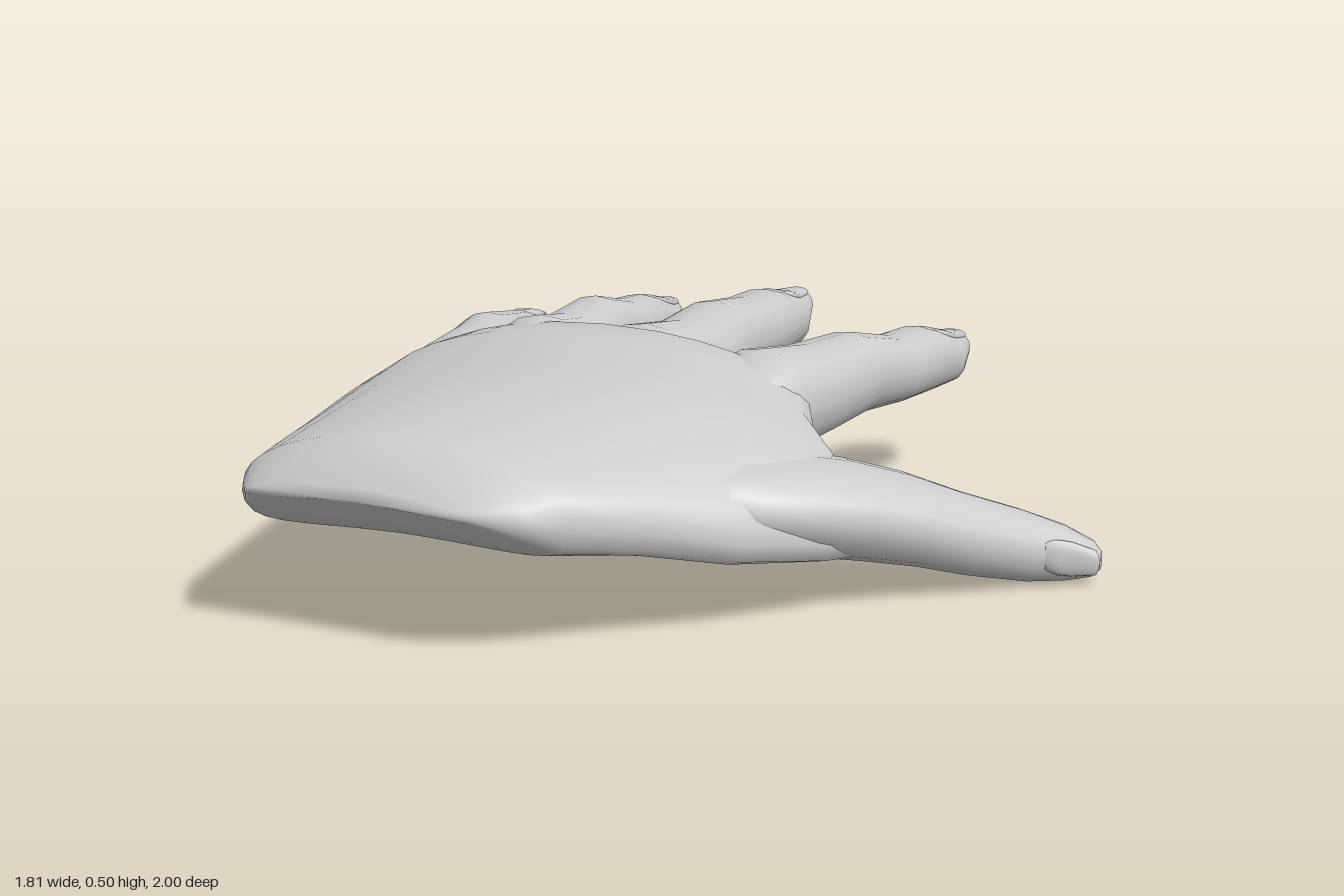
import * as THREE from 'three';

const SIDES = 16;
const UP = new THREE.Vector3(0, 1, 0);
const skin = new THREE.MeshStandardMaterial({ color: 0xcccccc });

// Closed smooth skin over rings of points, with a pole at each end
function skinRings(name, rings) {
  const n = rings[0].length, pos = [], index = [];
  const pole = (ring) => ring.reduce((s, p) => s.add(p), new THREE.Vector3()).divideScalar(n);
  rings.flat().forEach((p) => pos.push(p.x, p.y, p.z));
  const first = rings.length * n, last = first + 1, end = (rings.length - 1) * n;
  pos.push(...pole(rings[0]), ...pole(rings[rings.length - 1]));
  for (let j = 0; j < n; j++) {
    const k = (j + 1) % n;
    for (let i = 0; i < rings.length - 1; i++) {
      const a = i * n + j, b = i * n + k;
      index.push(a, a + n, b, b, a + n, b + n);
    }
    index.push(first, j, k, last, end + k, end + j);
  }
  const geo = new THREE.BufferGeometry();
  geo.setAttribute('position', new THREE.Float32BufferAttribute(pos, 3));
  geo.setIndex(index);
  geo.computeVertexNormals();
  const mesh = new THREE.Mesh(geo, skin);
  mesh.name = name;
  return mesh;
}

const power = (v, e) => Math.sign(v) * Math.abs(v) ** e;

// Limb along a path with a rounded tip; each section is [x, y, z, halfWidth, halfHeight]
function limb(name, sections) {
  const at = sections.map(([x, y, z]) => new THREE.Vector3(x, y, z));
  const ring = (center, side, w, h) => Array.from({ length: SIDES }, (_, j) => {
    const a = (j / SIDES) * Math.PI * 2;
    return center.clone()
      .addScaledVector(side, w * power(Math.cos(a), 0.9))
      .addScaledVector(UP, h * power(Math.sin(a), 0.9));
  });
  const rings = sections.map(([, , , w, h], i) => {
    const dir = at[Math.min(i + 1, at.length - 1)].clone().sub(at[Math.max(i - 1, 0)]);
    return ring(at[i], dir.cross(UP).normalize(), w, h);
  });
  const [w, h] = sections[sections.length - 1].slice(3);
  const dir = at[at.length - 1].clone().sub(at[at.length - 2]).normalize();
  const tip = at[at.length - 1].clone().addScaledVector(dir, Math.min(w, h) * 0.5);
  rings.push(ring(tip, dir.cross(UP).normalize(), w * 0.5, h * 0.5));
  return skinRings(name, rings);
}

// Thin nail plate riding on the last sections of a digit, on its top or its outer side
function nail(name, sections, onSide) {
  const [a, b, c] = sections.slice(-3);
  const mix = (p, q, t) => p.map((v, i) => v + (q[i] - v) * t);
  const plate = [mix(a, b, 0.3), mix(a, b, 0.65), b, mix(b, c, 0.95)].map(([x, y, z, w, h], i) => {
    const spread = [0.45, 0.6, 0.65, 0.7][i];
    return onSide
      ? [x + w * 0.47, y, z + w * 0.7, 0.014, h * spread]
      : [x, y + h * 0.86, z, w * spread, 0.014];
  });
  return limb(name, plate);
}

// Arched palm; each section is [z, left x, right x, mid y, halfHeight, drop at -x, drop at +x]
function palm() {
  const sections = [
    [1.0, -0.59, -0.05, 0.325, 0.015, 0.02, 0.02],
    [0.94, -0.64, 0.05, 0.325, 0.062, 0.04, 0.04],
    [0.88, -0.68, 0.10, 0.32, 0.10, 0.05, 0.05],
    [0.74, -0.72, 0.21, 0.33, 0.105, 0.06, 0.09],
    [0.58, -0.76, 0.34, 0.34, 0.112, 0.07, 0.15],
    [0.4, -0.80, 0.46, 0.35, 0.117, 0.07, 0.19],
    [0.3, -0.82, 0.5, 0.355, 0.12, 0.07, 0.205],
    [0.2, -0.835, 0.45, 0.36, 0.12, 0.07, 0.18],
    [0.08, -0.84, 0.29, 0.37, 0.122, 0.07, 0.09],
    [-0.02, -0.825, 0.235, 0.372, 0.12, 0.07, 0.06],
    [-0.09, -0.76, 0.21, 0.365, 0.08, 0.06, 0.05],
  ];
  const n = 32;
  return skinRings('palm', sections.map(([z, l, r, y, h, dl, dr]) =>
    Array.from({ length: n }, (_, j) => {
      const a = (j / n) * Math.PI * 2, u = power(Math.cos(a), 0.8);
      const arch = (u < 0 ? dl : dr) * u * u;
      return new THREE.Vector3((l + r) / 2 + (u * (r - l)) / 2, y - arch + h * power(Math.sin(a), 0.65), z);
    })));
}

const digits = {
  littleFinger: [
    [-0.67, 0.32, 0.14, 0.07, 0.05],
    [-0.71, 0.31, -0.04, 0.115, 0.112],
    [-0.755, 0.32, -0.2, 0.093, 0.1],
    [-0.785, 0.335, -0.31, 0.083, 0.092],
    [-0.82, 0.325, -0.44, 0.075, 0.078],
    [-0.842, 0.315, -0.55, 0.058, 0.07],
    [-0.842, 0.305, -0.64, 0.055, 0.062],
    [-0.855, 0.312, -0.69, 0.038, 0.038],
  ],
  ringFinger: [
    [-0.44, 0.35, 0.14, 0.09, 0.06],
    [-0.47, 0.36, -0.03, 0.13, 0.137],
    [-0.5, 0.355, -0.2, 0.105, 0.112],
    [-0.522, 0.37, -0.4, 0.097, 0.105],
    [-0.534, 0.35, -0.56, 0.087, 0.088],
    [-0.538, 0.345, -0.68, 0.084, 0.085],
    [-0.548, 0.325, -0.81, 0.066, 0.07],
    [-0.55, 0.345, -0.875, 0.038, 0.035],
  ],
  middleFinger: [
    [-0.22, 0.36, 0.14, 0.1, 0.07],
    [-0.2, 0.365, -0.05, 0.145, 0.13],
    [-0.197, 0.36, -0.23, 0.122, 0.112],
    [-0.204, 0.38, -0.42, 0.115, 0.104],
    [-0.212, 0.37, -0.62, 0.105, 0.09],
    [-0.213, 0.37, -0.75, 0.102, 0.088],
    [-0.22, 0.355, -0.89, 0.075, 0.072],
    [-0.217, 0.38, -0.98, 0.042, 0.036],
  ],
  indexFinger: [
    [0.06, 0.34, 0.15, 0.08, 0.05],
    [0.1, 0.338, -0.04, 0.137, 0.126],
    [0.132, 0.335, -0.22, 0.122, 0.108],
    [0.17, 0.345, -0.4, 0.108, 0.098],
    [0.208, 0.325, -0.56, 0.095, 0.083],
    [0.23, 0.325, -0.7, 0.09, 0.083],
    [0.242, 0.305, -0.83, 0.075, 0.066],
    [0.256, 0.318, -0.915, 0.04, 0.036],
  ],
  thumb: [
    [0.02, 0.29, 0.57, 0.1, 0.04],
    [0.12, 0.265, 0.49, 0.16, 0.075],
    [0.24, 0.235, 0.39, 0.19, 0.1],
    [0.34, 0.212, 0.295, 0.175, 0.107],
    [0.43, 0.19, 0.215, 0.16, 0.106],
    [0.53, 0.158, 0.13, 0.137, 0.099],
    [0.63, 0.12, 0.06, 0.112, 0.09],
    [0.74, 0.082, -0.03, 0.085, 0.079],
    [0.82, 0.062, -0.08, 0.066, 0.061],
    [0.88, 0.052, -0.092, 0.042, 0.04],
  ],
};

export function createModel() {
  const hand = new THREE.Group();
  hand.name = 'hand';
  hand.add(palm());
  for (const [name, sections] of Object.entries(digits)) {
    hand.add(limb(name, sections), nail(name + 'Nail', sections, name === 'thumb'));
  }
  return hand;
}
